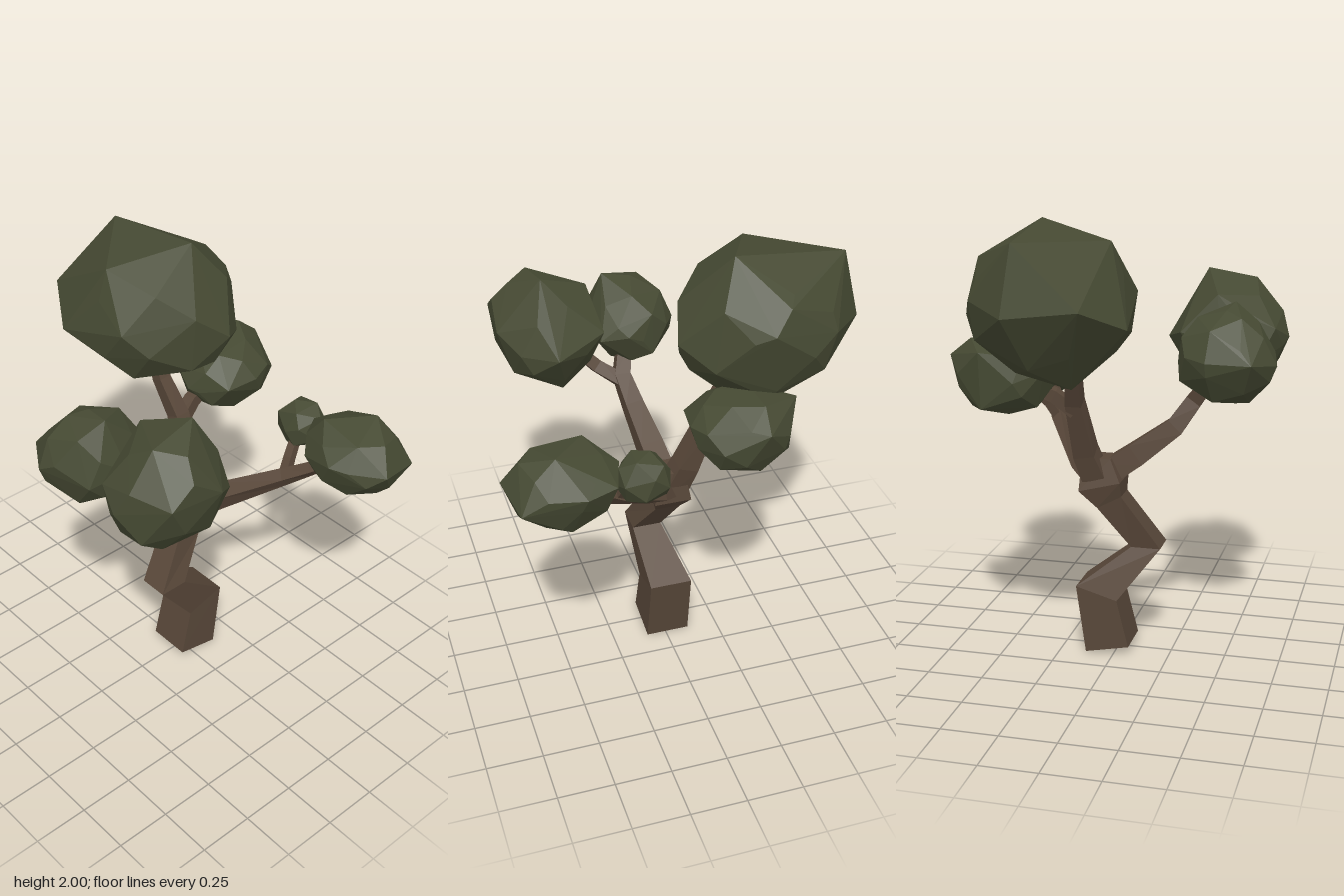
import * as THREE from 'three';
import { ConvexGeometry } from 'three/addons/geometries/ConvexGeometry.js';

const bark = new THREE.MeshStandardMaterial({ color: 0x584739, flatShading: true });
const leaf = new THREE.MeshStandardMaterial({ color: 0x464a33, flatShading: true });
const V = (p) => new THREE.Vector3(...p);

// Skin four-cornered rings (counter-clockwise about the growth direction), capped at both ends
function loft(rings) {
  const pos = [];
  const quad = (a, b, c, d) => [a, b, c, a, c, d].forEach((p) => pos.push(p.x, p.y, p.z));
  for (let r = 0; r < rings.length - 1; r++) {
    for (let i = 0; i < 4; i++) {
      const j = (i + 1) % 4;
      quad(rings[r][i], rings[r][j], rings[r + 1][j], rings[r + 1][i]);
    }
  }
  quad(...rings[0].slice().reverse());
  quad(...rings[rings.length - 1]);
  const g = new THREE.BufferGeometry();
  g.setAttribute('position', new THREE.Float32BufferAttribute(pos, 3));
  g.computeVertexNormals();
  return g;
}

// Trunk ring from its left and right edges in x/y and its front and back z
function trunkRing([x0, y0, x1, y1, front, back]) {
  return [V([x1, y1, front]), V([x1, y1, back]), V([x0, y0, back]), V([x0, y0, front])];
}

// Square tapering branch along points [x, y, z, half width]
function branch(points) {
  const c = points.map((p) => V(p.slice(0, 3)));
  return loft(c.map((p, i) => {
    const t = c[Math.min(i + 1, c.length - 1)].clone().sub(c[Math.max(i - 1, 0)]).normalize();
    const u = new THREE.Vector3(0, 0, 1).cross(t).normalize();
    const v = t.clone().cross(u);
    const w = points[i][3];
    return [[1, 1], [-1, 1], [-1, -1], [1, -1]].map(([a, b]) =>
      p.clone().addScaledVector(u, a * w).addScaledVector(v, b * w));
  }));
}

// Chunky faceted foliage filling the box lo..hi, with extra corner points
function clump(lo, hi, count, seed, corners = []) {
  let s = seed;
  const rand = () => (s = (s * 16807) % 2147483647) / 2147483647 - 0.5;
  const min = V(lo), max = V(hi);
  const mid = min.clone().add(max).multiplyScalar(0.5);
  const half = max.clone().sub(min).multiplyScalar(0.5);
  const pts = corners.map(V);
  for (let i = 0; i < count; i++) {
    const y = 1 - (2 * i + 1) / count;
    const r = Math.sqrt(1 - y * y);
    const a = i * 2.39996 + seed + rand() * 0.4;
    const p = new THREE.Vector3(r * Math.cos(a), y, r * Math.sin(a));
    pts.push(p.multiplyScalar(1.09 + rand() * 0.06).multiply(half).add(mid).clamp(min, max));
  }
  return new ConvexGeometry(pts);
}

export function createModel() {
  const tree = new THREE.Group();
  tree.name = 'tree';
  const add = (name, geometry, material) => {
    const m = new THREE.Mesh(geometry, material);
    m.name = name;
    tree.add(m);
  };

  // Zigzag trunk up to the fork
  add('trunk', loft([
    [-0.07, 0.04, 0.13, 0, 0.09, -0.11],
    [-0.015, 0.26, 0.175, 0.315, 0.085, -0.11],
    [-0.2, 0.5, -0.065, 0.5, 0.1, -0.035],
    [-0.03, 0.75, 0.08, 0.69, 0.035, -0.085],
    [-0.03, 0.82, 0.16, 0.77, 0.06, -0.11],
    [0.02, 0.92, 0.15, 0.92, 0.03, -0.08],
  ].map(trunkRing)), bark);

  // Branches and their twigs
  const branches = {
    rightBranch: [[0.05, 0.84, -0.01, 0.055], [-0.08, 0.93, 0.01, 0.052], [-0.25, 1.06, 0.04, 0.042], [-0.33, 1.18, 0.07, 0.036], [-0.42, 1.3, 0.03, 0.03]],
    rightTwig: [[-0.31, 1.15, 0.06, 0.03], [-0.36, 1.23, 0.18, 0.028], [-0.4, 1.35, 0.3, 0.025]],
    backBranch: [[0.08, 0.78, -0.03, 0.055], [0.13, 0.95, -0.09, 0.048], [0.15, 1.2, -0.19, 0.036], [0.13, 1.36, -0.28, 0.03], [0.14, 1.5, -0.34, 0.028]],
    backTwig: [[0.15, 1.16, -0.18, 0.03], [0.24, 1.23, -0.2, 0.028], [0.38, 1.28, -0.22, 0.025]],
    frontBranch: [[0.08, 0.82, -0.02, 0.055], [0.18, 0.86, 0.06, 0.045], [0.36, 1.01, 0.29, 0.03], [0.42, 1.09, 0.4, 0.025], [0.47, 1.17, 0.5, 0.022]],
    frontTwig: [[0.36, 1.0, 0.29, 0.022], [0.41, 1.08, 0.27, 0.02], [0.5, 1.17, 0.23, 0.018]],
  };
  for (const [name, points] of Object.entries(branches)) add(name, branch(points), bark);

  // Foliage
  add('crownFoliage', clump([-0.14, 1.37, -0.74], [0.52, 1.94, -0.04], 32, 3, [
    [0.27, 2, -0.24], [-0.07, 1.93, -0.4], [0.25, 1.95, -0.73], [-0.04, 1.7, -0.8],
    [0.28, 1.64, 0], [-0.18, 1.6, -0.58], [0.55, 1.76, -0.32], [0.06, 1.34, -0.55],
    [0.28, 1.66, -0.79], [-0.11, 1.6, -0.25], [0.47, 1.7, -0.62], [0.45, 1.42, -0.35],
    [0.5, 1.85, -0.4], [0.25, 1.5, -0.06],
  ]), leaf);
  add('rightFrontFoliage', clump([-0.68, 1.19, 0.18], [-0.18, 1.64, 0.61], 28, 5, [
    [-0.32, 1.72, 0.43], [-0.54, 1.68, 0.45], [-0.14, 1.4, 0.4], [-0.7, 1.42, 0.4],
    [-0.31, 1.17, 0.35], [-0.59, 1.5, 0.62], [-0.34, 1.48, 0.63], [-0.24, 1.46, 0.17],
    [-0.4, 1.63, 0.21], [-0.52, 1.3, 0.2], [-0.45, 1.66, 0.55], [-0.48, 1.58, 0.62],
  ]), leaf);
  add('rightBackFoliage', clump([-0.69, 1.2, -0.19], [-0.27, 1.58, 0.18], 28, 8, [
    [-0.5, 1.62, 0.11], [-0.48, 1.6, -0.02], [-0.62, 1.4, -0.21], [-0.42, 1.4, -0.2],
    [-0.71, 1.38, -0.07], [-0.26, 1.4, 0.05], [-0.46, 1.4, 0.2], [-0.58, 1.19, 0.02],
    [-0.3, 1.38, 0.17],
  ]), leaf);
  add('leftBackFoliage', clump([0.24, 1.15, -0.41], [0.66, 1.47, -0.02], 28, 11, [
    [0.59, 1.48, -0.27], [0.69, 1.4, -0.26], [0.5, 1.45, -0.44], [0.5, 1.2, -0.42],
    [0.45, 1.35, 0], [0.22, 1.3, -0.2], [0.45, 1.14, -0.2], [0.3, 1.34, -0.02],
    [0.62, 1.34, -0.37], [0.35, 1.45, -0.14],
  ]), leaf);
  add('leftFrontFoliage', clump([0.32, 1.06, 0.35], [0.69, 1.38, 0.77], 28, 14, [
    [0.59, 1.4, 0.6], [0.42, 1.38, 0.45], [0.45, 1.24, 0.8], [0.66, 1.2, 0.76],
    [0.47, 1.04, 0.56], [0.62, 1.06, 0.55], [0.71, 1.26, 0.5], [0.67, 1.27, 0.37],
    [0.5, 1.28, 0.32], [0.3, 1.26, 0.6], [0.5, 1.35, 0.73], [0.5, 1.09, 0.71],
  ]), leaf);
  add('smallFoliage', clump([0.42, 1.09, 0.11], [0.63, 1.31, 0.34], 20, 17), leaf);
  return tree;
}
